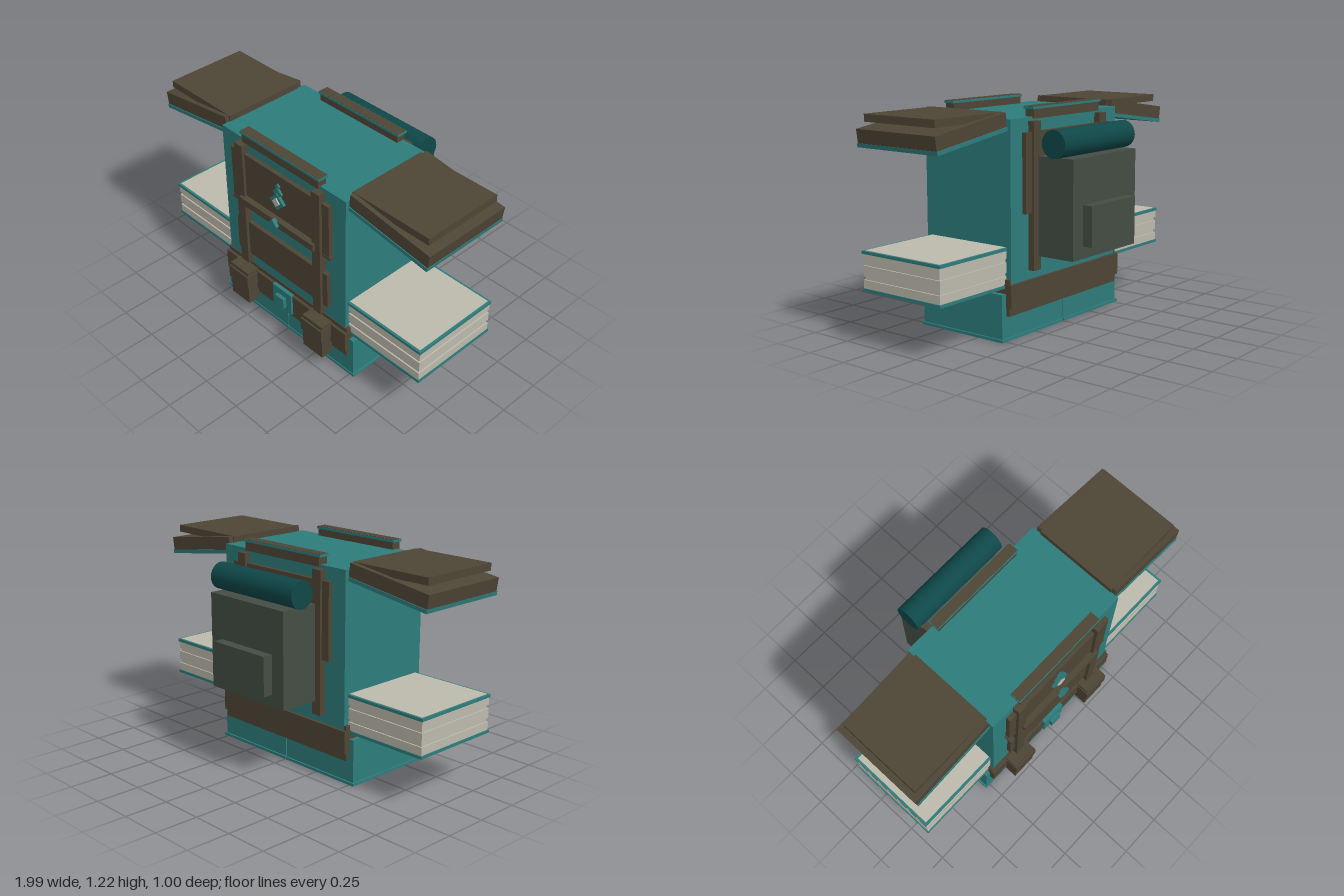
import * as THREE from 'three';

const mat = (name, color) => {
  const m = new THREE.MeshStandardMaterial({ color });
  m.name = name;
  return m;
};

export function createModel() {
  const teal = mat('teal cloth', 0x2d7c7b);
  const darkTeal = mat('dark teal roll', 0x0f4748);
  const brown = mat('brown leather', 0x4e4535);
  const cream = mat('cream lining', 0xbdb9ac);
  const olive = mat('olive canvas', 0x444d43);
  const model = new THREE.Group();

  // Box given by its limits on each axis
  const box = (name, m, x0, x1, y0, y1, z0, z1, parent = model) => {
    const mesh = new THREE.Mesh(new THREE.BoxGeometry(x1 - x0, y1 - y0, z1 - z0), m);
    mesh.position.set((x0 + x1) / 2, (y0 + y1) / 2, (z0 + z1) / 2);
    mesh.name = name;
    parent.add(mesh);
    return mesh;
  };
  // Box repeated on both sides
  const pair = (name, m, x0, x1, ...rest) => {
    box(name + 'Left', m, x0, x1, ...rest);
    box(name + 'Right', m, -x1, -x0, ...rest);
  };
  // Square plate standing on one corner
  const diamond = (name, m, y, half, z0, z1) => {
    const s = half * Math.SQRT1_2;
    box(name, m, -s, s, y - s, y + s, z0, z1).rotation.z = Math.PI / 4;
  };

  // Coat body and split skirt
  box('torso', teal, -0.47, 0.47, 0.25, 1.165, -0.18, 0.41);
  pair('skirt', teal, 0.003, 0.52, 0.01, 0.255, -0.16, 0.40);
  pair('skirtHem', teal, 0.003, 0.53, 0, 0.015, -0.17, 0.405);

  // Belt
  box('belt', brown, -0.485, 0.485, 0.135, 0.33, -0.18, 0.414);
  box('beltBand', brown, -0.49, 0.49, 0.18, 0.305, -0.197, 0.43);
  box('buckle', teal, -0.075, 0.075, 0.175, 0.315, 0.42, 0.443);
  box('buckleCentre', teal, -0.035, 0.035, 0.21, 0.275, 0.44, 0.465);
  pair('pouch', brown, 0.228, 0.378, 0.1, 0.32, 0.42, 0.495);
  pair('pouchFlap', brown, 0.222, 0.382, 0.22, 0.298, 0.425, 0.505);

  // Chest panels and harness
  box('upperPanel', brown, -0.375, 0.375, 0.765, 1.09, 0.40, 0.435);
  box('upperPanelEdge', brown, -0.385, 0.385, 0.757, 0.772, 0.40, 0.438);
  box('lowerPanel', brown, -0.36, 0.36, 0.42, 0.64, 0.40, 0.435);
  box('backPanel', brown, -0.375, 0.375, 0.665, 1.09, -0.205, -0.17);
  pair('frontStrap', brown, 0.265, 0.325, 0.355, 1.145, 0.40, 0.452);
  pair('backStrap', brown, 0.265, 0.325, 0.355, 1.145, -0.217, -0.17);
  box('chestStrap', brown, -0.29, 0.29, 0.78, 0.82, 0.42, 0.47);

  // Chest ornaments
  diamond('claspDiamond', teal, 0.8, 0.036, 0.465, 0.49);
  diamond('emblemDiamond', teal, 0.93, 0.054, 0.43, 0.452);
  diamond('emblemCentre', cream, 0.93, 0.028, 0.45, 0.459);
  diamond('emblemUpper', teal, 0.985, 0.035, 0.43, 0.447);
  diamond('emblemTip', teal, 1.025, 0.017, 0.43, 0.445);

  // Collar rails at front and back
  for (const [name, z] of [['frontCollar', 0.398], ['backCollar', -0.163]]) {
    box(name + 'Base', brown, -0.29, 0.29, 1.155, 1.205, z - 0.028, z + 0.028);
    box(name + 'Trim', teal, -0.3, 0.3, 1.205, 1.218, z - 0.033, z + 0.033);
    box(name + 'Top', brown, -0.297, 0.297, 1.217, 1.22, z - 0.03, z + 0.03);
  }

  for (const s of [1, -1]) {
    const side = s > 0 ? 'left' : 'right';
    const span = (name, m, x0, x1, ...rest) =>
      box(side + name, m, Math.min(s * x0, s * x1), Math.max(s * x0, s * x1), ...rest);

    // Sloping shoulder guard with a flat plate above
    const guard = new THREE.Group();
    guard.name = side + 'ShoulderGuard';
    guard.position.set(s * 0.73, 1.115, 0.115);
    guard.rotation.z = -s * 0.142;
    model.add(guard);
    box('guardLeather', brown, -0.263, 0.263, -0.026, 0.048, -0.27, 0.27, guard);
    box('guardTrim', teal, -0.265, 0.265, -0.047, -0.026, -0.275, 0.275, guard);
    span('ShoulderPlate', brown, 0.465, 0.965, 1.16, 1.2, -0.125, 0.36);

    // Layered cuff
    span('CuffTop', teal, 0.46, 0.98, 0.482, 0.498, -0.155, 0.39);
    span('CuffTopLining', cream, 0.47, 0.967, 0.495, 0.5, -0.142, 0.377);
    span('CuffBottom', teal, 0.46, 0.98, 0.284, 0.3, -0.155, 0.39);
    const levels = [0.3, 0.345, 0.365, 0.42, 0.44, 0.482];
    for (let i = 0; i < 5; i++) {
      const inset = i % 2 ? 0.008 : 0;
      span('CuffLayer' + (i + 1), cream, 0.46, 0.975 - inset, levels[i], levels[i + 1],
        -0.15 + inset, 0.385 - inset);
    }
  }

  // Backpack and bedroll
  box('backpack', olive, -0.287, 0.287, 0.43, 0.962, -0.442, -0.215);
  box('backpackPocket', olive, -0.2, 0.2, 0.497, 0.716, -0.5, -0.43);
  const roll = new THREE.Mesh(new THREE.CylinderGeometry(0.075, 0.075, 0.64, 24), darkTeal);
  roll.name = 'bedroll';
  roll.rotation.z = Math.PI / 2;
  roll.position.set(0, 1.035, -0.34);
  model.add(roll);

  return model;
}
